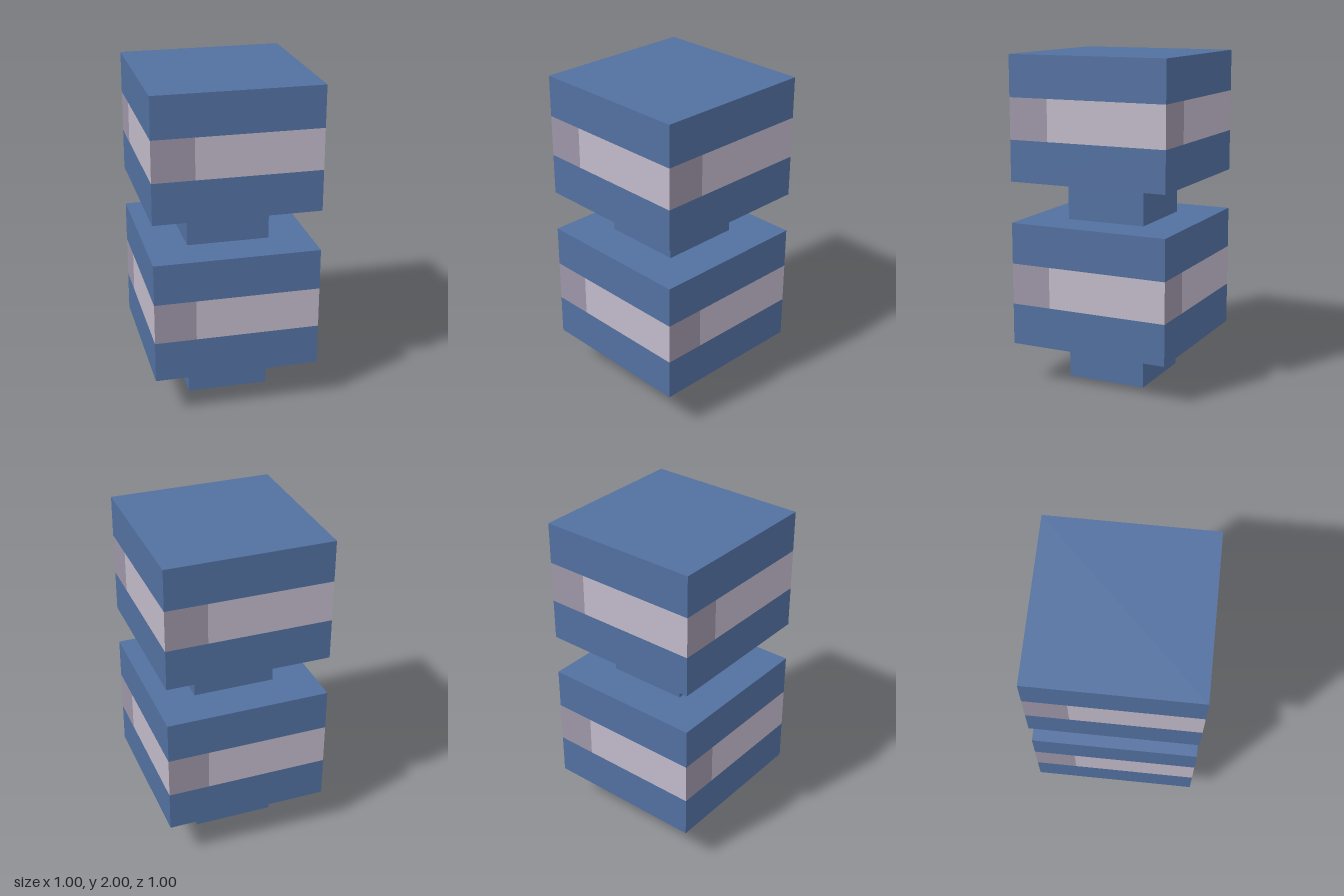
import * as THREE from 'three';

export function createModel() {
  const blue = new THREE.MeshStandardMaterial({ name: 'blue', color: 0x5270a0 });
  const paleGrey = new THREE.MeshStandardMaterial({ name: 'paleGrey', color: 0xc1b9c9 });
  const darkGrey = new THREE.MeshStandardMaterial({ name: 'darkGrey', color: 0x9d95a7 });

  const model = new THREE.Group();
  model.name = 'stackedBlocks';

  function block(name, width, height, bottom, parent) {
    const mesh = new THREE.Mesh(new THREE.BoxGeometry(width, height, width), blue);
    mesh.name = name;
    mesh.position.y = bottom + height / 2;
    parent.add(mesh);
  }

  function panel(name, width, x, material, parent) {
    const mesh = new THREE.Mesh(new THREE.PlaneGeometry(width, 0.25), material);
    mesh.name = name;
    mesh.position.set(x, 0.625, 0.5);
    parent.add(mesh);
  }

  // Two identical segments, one standing on the other
  for (let i = 0; i < 2; i++) {
    const segment = new THREE.Group();
    segment.name = i === 0 ? 'lowerSegment' : 'upperSegment';
    segment.position.y = i;
    block('neck', 0.5, 0.25, 0, segment);
    block('lowerBlock', 1, 0.25, 0.25, segment);
    block('upperBlock', 1, 0.25, 0.75, segment);

    // Grey band flush with the blocks, repeated around the four sides
    for (let side = 0; side < 4; side++) {
      const band = new THREE.Group();
      band.name = 'bandSide';
      band.rotation.y = side * Math.PI / 2;
      panel('darkBandPanel', 0.25, -0.375, darkGrey, band);
      panel('paleBandPanel', 0.75, 0.125, paleGrey, band);
      segment.add(band);
    }
    model.add(segment);
  }
  return model;
}
